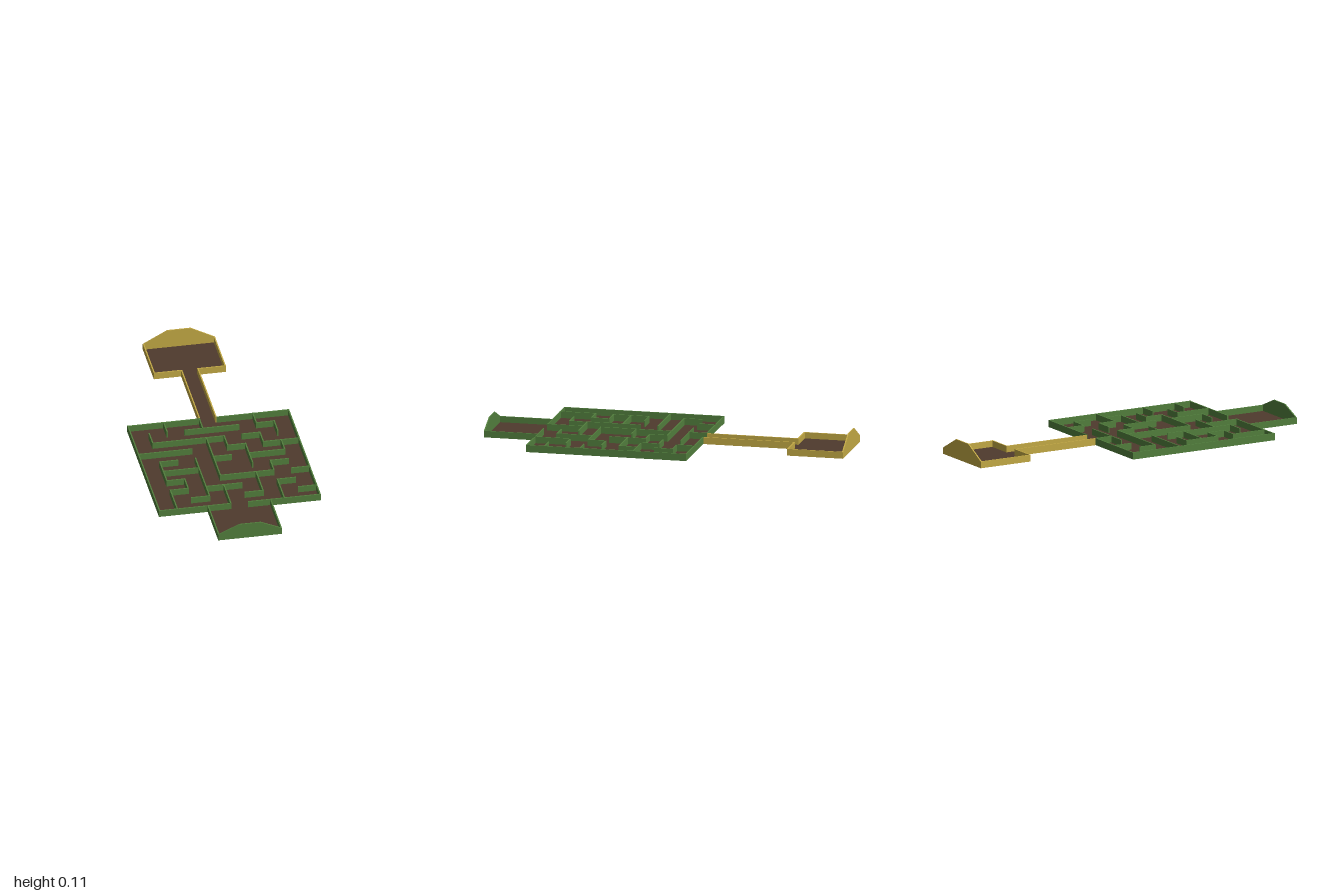
import * as THREE from 'three';

const T = 0.007;          // wall thickness
const H = 0.038;          // wall height
const X0 = -0.44, Z0 = -0.185, CELL = 0.0982; // maze grid, 9 x 9 cells

const mat = (color) => new THREE.MeshStandardMaterial({ color, flatShading: true });
const green = mat(0x527f3d), gold = mat(0xc4aa45), earth = mat(0x4f3b2d);

function box(parent, name, x0, x1, y0, y1, z0, z1, material) {
  const m = new THREE.Mesh(new THREE.BoxGeometry(x1 - x0, y1 - y0, z1 - z0), material);
  m.position.set((x0 + x1) / 2, (y0 + y1) / 2, (z0 + z1) / 2);
  m.name = name;
  parent.add(m);
  return m;
}

// Axis-aligned wall centred on the line from (xa, za) to (xb, zb)
function wall(parent, name, xa, za, xb, zb, material, h = H) {
  const t = T / 2;
  return box(parent, name, xa - t, xb + t, 0, h, za - t, zb + t, material);
}

// End wall with a raised, flat-topped gable
function gable(parent, name, half, flat, top, z, material) {
  const s = new THREE.Shape();
  [[-half, 0], [half, 0], [half, H - 0.002], [flat, top], [-flat, top], [-half, H - 0.002]]
    .forEach(([x, y], i) => (i ? s.lineTo(x, y) : s.moveTo(x, y)));
  const m = new THREE.Mesh(new THREE.ExtrudeGeometry(s, { depth: T, bevelEnabled: false }), material);
  m.position.z = z;
  m.name = name;
  parent.add(m);
}

export function createModel() {
  const model = new THREE.Group();
  model.name = 'mazeBoard';
  const section = (name) => {
    const g = new THREE.Group();
    g.name = name;
    model.add(g);
    return g;
  };
  const gx = (i) => X0 + i * CELL, gz = (j) => Z0 + j * CELL;
  const F = 0.003; // floor thickness
  const zBack = gz(0), zFront = gz(9);

  // Maze floor and hedges
  const maze = section('maze');
  box(maze, 'mazeFloor', gx(0), gx(9), 0.0004, F, zBack, zFront, earth);
  // rows: [line, from, to] along x; columns: [line, from, to] along z
  const rows = [
    [0, 0, 4], [0, 5, 9], [9, 0, 4], [9, 5, 9],
    [1, 3, 6], [1, 7, 8], [2, 1, 5], [2, 6, 7],
    [3, 0, 3], [3, 5, 6], [3, 7, 9], [4, 1, 2], [4, 4, 5], [4, 6, 8],
    [5, 1, 3], [5, 7, 8], [6, 4, 7], [6, 8, 9], [6, 1, 2],
    [7, 1, 2], [7, 3, 5], [7, 7, 8], [8, 2, 3], [8, 5, 6], [8, 8, 9],
  ];
  const columns = [
    [0, 0, 9], [9, 0, 9],
    [1, 1, 2], [1, 4, 6], [1, 7, 9], [2, 0, 1], [2, 6, 7], [3, 4, 8],
    [4, 0, 1], [4, 2, 6], [4, 7, 9], [5, 2, 3], [6, 3, 5], [6, 6, 8],
    [7, 0, 1], [7, 2, 3], [7, 5, 6], [7, 7, 9], [8, 1, 2], [8, 3, 4],
  ];
  rows.forEach(([j, a, b]) => wall(maze, 'hedgeRow', gx(a), gz(j), gx(b), gz(j), green));
  columns.forEach(([i, a, b]) => wall(maze, 'hedgeColumn', gx(i), gz(a), gx(i), gz(b), green, H + 0.001));

  // Entrance room in front
  const start = section('entranceRoom');
  box(start, 'entranceFloor', -0.172, 0.172, 0.0004, F, zFront, 0.997, earth);
  for (const s of [-1, 1])
    wall(start, 'entranceSideWall', s * 0.172, zFront, s * 0.172, 0.993, green, H - 0.002);
  gable(start, 'entranceGable', 0.1755, 0.058, 0.087, 1 - T, green);

  // Passage behind the maze
  const passage = section('passage');
  box(passage, 'passageFloor', -0.043, 0.043, 0.0004, F, -0.692, zBack, earth);
  for (const s of [-1, 1])
    wall(passage, 'passageWall', s * 0.045, -0.692, s * 0.045, zBack - T, gold);

  // Goal room at the back
  const goal = section('goalRoom');
  box(goal, 'goalFloor', -0.195, 0.195, 0.0004, F, -0.997, -0.692, earth);
  for (const s of [-1, 1]) {
    wall(goal, 'goalSideWall', s * 0.195, -0.993, s * 0.195, -0.692, gold, H - 0.001);
    wall(goal, 'goalFrontWall', Math.min(s * 0.045, s * 0.195), -0.692,
      Math.max(s * 0.045, s * 0.195), -0.692, gold);
  }
  gable(goal, 'goalGable', 0.1985, 0.064, 0.108, -1, gold);

  return model;
}
